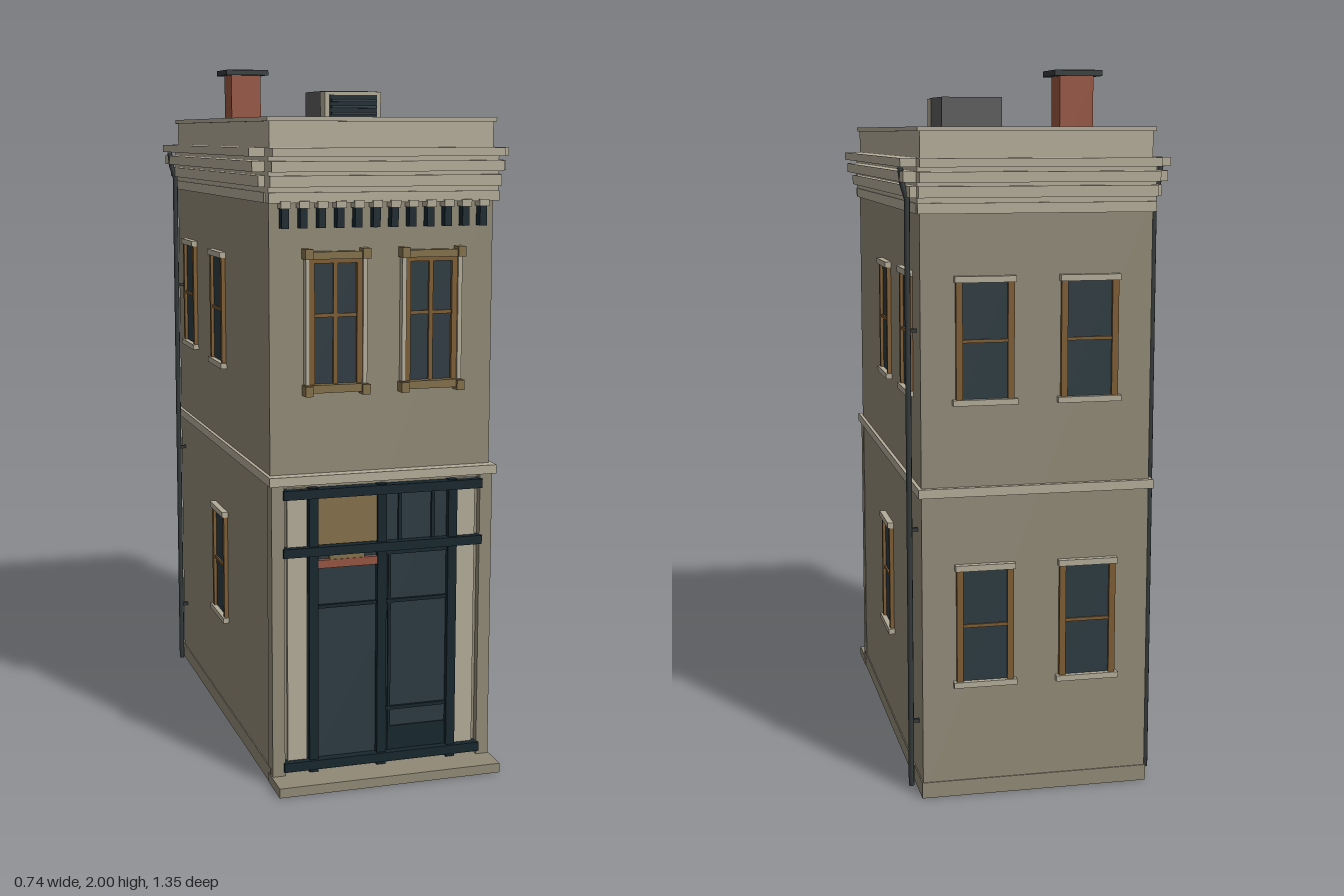
import * as THREE from 'three';

const mat = (name, color) => new THREE.MeshStandardMaterial({ name, color });

export function createModel() {
  const wall = mat('stucco', 0x908977), trim = mat('stoneTrim', 0xb2ab98);
  const dark = mat('darkPaint', 0x16262d), glass = mat('glass', 0x2c3a41);
  const wood = mat('windowWood', 0x7d5c33), tan = mat('tanPanel', 0x83704a);
  const brick = mat('brick', 0x965440), roof = mat('roofGrey', 0x5b5b5b);
  const iron = mat('ironGrey', 0x34393a);

  const model = new THREE.Group();
  model.name = 'townBuilding';
  const group = (name, parent = model) => {
    const g = new THREE.Group();
    g.name = name;
    parent.add(g);
    return g;
  };
  // Box given by its extents on each axis
  const box = (parent, name, m, x0, x1, y0, y1, z0, z1) => {
    const mesh = new THREE.Mesh(new THREE.BoxGeometry(x1 - x0, y1 - y0, z1 - z0), m);
    mesh.position.set((x0 + x1) / 2, (y0 + y1) / 2, (z0 + z1) / 2);
    mesh.name = name;
    parent.add(mesh);
    return mesh;
  };

  // Main block, plinth and front step
  box(model, 'walls', wall, -0.32, 0.32, 0, 1.66, -0.62, 0.565);
  box(model, 'plinth', wall, -0.323, 0.323, 0, 0.045, -0.623, 0.567);
  box(model, 'frontStep', wall, -0.325, 0.325, 0, 0.027, 0.55, 0.672);
  box(model, 'stringCourse', trim, -0.33, 0.33, 0.857, 0.882, -0.635, 0.6);

  // Cornice: each tier has side runs and front/back runs with notched corners
  const cornice = group('cornice');
  const tier = (name, y0, y1, out) => {
    box(cornice, name + 'Sides', trim, -0.318 - out, 0.318 + out, y0, y1, -0.617, 0.553);
    box(cornice, name + 'Ends', trim, -0.327, 0.327, y0, y1, -0.622 - out, 0.582 + out);
  };
  tier('frieze', 1.62, 1.648, 0.012);
  tier('lowerMoulding', 1.662, 1.692, 0.027);
  tier('middleMoulding', 1.702, 1.73, 0.044);
  tier('topMoulding', 1.742, 1.765, 0.052);
  tier('corniceCore', 1.648, 1.742, 0.006);

  // Parapet ring with coping
  const ring = (name, m, o, y0, y1) => {
    const rect = (P, x, za, zb) => {
      const p = new P();
      p.moveTo(-x, za); p.lineTo(x, za); p.lineTo(x, zb); p.lineTo(-x, zb); p.closePath();
      return p;
    };
    const s = rect(THREE.Shape, 0.318 + o, -0.567 - o, 0.62 + o);
    s.holes.push(rect(THREE.Path, 0.276, -0.52, 0.58));
    const g = new THREE.ExtrudeGeometry(s, { depth: y1 - y0, bevelEnabled: false });
    const mesh = new THREE.Mesh(g.rotateX(-Math.PI / 2), m);
    mesh.position.y = y0;
    mesh.name = name;
    model.add(mesh);
  };
  ring('parapet', trim, 0, 1.755, 1.834);
  ring('coping', trim, 0.007, 1.834, 1.846);
  box(model, 'roofDeck', roof, -0.277, 0.277, 1.74, 1.768, -0.581, 0.521);

  // Brackets and dentils under the cornice
  const brackets = group('brackets');
  for (let i = 0; i < 12; i++) {
    const x = -0.282 + i * 0.0512;
    box(brackets, 'bracket', dark, x - 0.01, x + 0.01, 1.553, 1.606, 0.56, 0.594);
    box(brackets, 'dentil', trim, x - 0.014, x + 0.014, 1.606, 1.625, 0.56, 0.602);
  }

  // Sash window facing +z, origin at the centre of the sill line
  const sash = (name, x, y, z, turn) => {
    const g = group(name);
    g.position.set(x, y, z);
    g.rotation.y = turn;
    box(g, 'pane', glass, -0.066, 0.066, 0.012, 0.335, -0.01, 0.003);
    for (const s of [-1, 1])
      box(g, 'jamb', wood, s * 0.071 - 0.009, s * 0.071 + 0.009, 0.012, 0.335, -0.01, 0.012);
    box(g, 'meetingRail', wood, -0.066, 0.066, 0.169, 0.178, -0.01, 0.008);
    box(g, 'sill', trim, -0.089, 0.089, 0, 0.016, -0.01, 0.018);
    box(g, 'lintel', trim, -0.084, 0.084, 0.331, 0.348, -0.01, 0.018);
  };
  for (const s of [-1, 1]) {
    for (const [z, y] of [[-0.026, 1.107], [-0.418, 1.115], [-0.026, 0.318]])
      sash('sideWindow', s * 0.32, y, z, s * Math.PI / 2);
    for (const y of [1.107, 0.318]) sash('backWindow', s * 0.145, y, -0.62, Math.PI);
  }

  // Upper front windows
  for (const s of [-1, 1]) {
    const g = group('frontWindow');
    g.position.set(s * 0.137, 0, 0.565);
    box(g, 'pane', glass, -0.066, 0.066, 1.13, 1.47, -0.01, 0.004);
    for (const t of [-1, 1]) {
      box(g, 'stoneJamb', trim, t * 0.081 - 0.006, t * 0.081 + 0.006, 1.125, 1.475, -0.01, 0.022);
      box(g, 'woodJamb', wood, t * 0.068 - 0.008, t * 0.068 + 0.008, 1.125, 1.475, -0.01, 0.015);
      for (const y of [1.1, 1.47])
        box(g, 'endBlock', tan, t * 0.081 - 0.011, t * 0.081 + 0.011, y, y + 0.028, -0.01, 0.038);
    }
    box(g, 'mullion', wood, -0.006, 0.006, 1.125, 1.475, -0.01, 0.012);
    box(g, 'crossRail', wood, -0.066, 0.066, 1.312, 1.322, -0.01, 0.01);
    box(g, 'headRail', wood, -0.066, 0.066, 1.458, 1.472, -0.01, 0.014);
    box(g, 'sill', tan, -0.088, 0.088, 1.108, 1.13, -0.01, 0.03);
    box(g, 'lintel', tan, -0.088, 0.088, 1.47, 1.49, -0.01, 0.03);
  }

  // Storefront
  const shop = group('storefront');
  for (const s of [-1, 1]) {
    box(shop, 'cornerPilaster', wall, s * 0.304 - 0.018, s * 0.304 + 0.018, 0.02, 0.857, 0.54, 0.587);
    box(shop, 'innerPilaster', trim, s * 0.247 - 0.028, s * 0.247 + 0.028, 0.04, 0.845, 0.54, 0.576);
  }
  box(shop, 'shopGlass', glass, -0.21, 0.21, 0.03, 0.84, 0.55, 0.57);
  for (const x of [-0.202, -0.004, 0.205])
    box(shop, 'post', dark, x - 0.013, x + 0.013, 0.03, 0.845, 0.55, 0.588);
  for (const [y0, y1] of [[0.04, 0.066], [0.655, 0.68], [0.817, 0.843]])
    box(shop, 'beam', dark, -0.29, 0.29, y0, y1, 0.55, 0.597);
  for (const x of [0.052, 0.15])
    box(shop, 'transomBar', dark, x - 0.005, x + 0.005, 0.68, 0.817, 0.55, 0.578);
  for (const [x0, x1, y] of [[-0.19, -0.017, 0.505], [0.009, 0.192, 0.505], [0.009, 0.192, 0.19], [0.009, 0.192, 0.645]])
    box(shop, 'rail', dark, x0, x1, y - 0.005, y + 0.005, 0.55, 0.578);
  box(shop, 'doorStile', dark, 0.018, 0.026, 0.066, 0.645, 0.55, 0.577);
  box(shop, 'kickPanel', dark, 0.026, 0.192, 0.066, 0.135, 0.55, 0.574);
  box(shop, 'transomPanel', tan, -0.189, -0.017, 0.682, 0.815, 0.55, 0.578);
  box(shop, 'signBoard', brick, -0.192, -0.017, 0.617, 0.64, 0.55, 0.586);
  box(shop, 'signCrest', tan, -0.155, -0.055, 0.64, 0.652, 0.55, 0.584);

  // Downpipes at the rear of both sides
  for (const s of [-1, 1]) {
    const g = group('downpipe');
    const path = new THREE.CatmullRomCurve3([
      [0.36, 1.74], [0.36, 1.715], [0.343, 1.66], [0.343, 1.6], [0.343, 0.8], [0.343, 0.015],
    ].map(([x, y]) => new THREE.Vector3(s * x, y, -0.557)));
    const pipe = new THREE.Mesh(new THREE.TubeGeometry(path, 40, 0.008, 8), iron);
    pipe.name = 'pipe';
    g.add(pipe);
    for (const y of [0.2, 0.75, 1.3])
      box(g, 'bracket', iron, s * 0.331 - 0.012, s * 0.331 + 0.012, y, y + 0.01, -0.562, -0.552);
  }

  // Chimney
  const chimney = group('chimney');
  box(chimney, 'stack', brick, -0.202, -0.107, 1.76, 1.985, -0.432, -0.337);
  box(chimney, 'cap', iron, -0.222, -0.087, 1.984, 2, -0.452, -0.317);
  box(chimney, 'capTop', roof, -0.215, -0.094, 1.995, 2.001, -0.445, -0.324);

  // Rooftop air unit with louvred front
  const unit = group('airUnit');
  box(unit, 'base', trim, 0.018, 0.197, 1.765, 1.785, -0.272, -0.035);
  box(unit, 'cabinet', roof, 0.02, 0.194, 1.78, 1.93, -0.264, -0.065);
  box(unit, 'frontFrame', trim, 0.018, 0.196, 1.78, 1.928, -0.092, -0.04);
  box(unit, 'grille', dark, 0.032, 0.182, 1.795, 1.918, -0.06, -0.036);
  for (let i = 0; i < 6; i++)
    box(unit, 'louvre', glass, 0.036, 0.178, 1.802 + i * 0.019, 1.81 + i * 0.019, -0.05, -0.027);

  return model;
}
